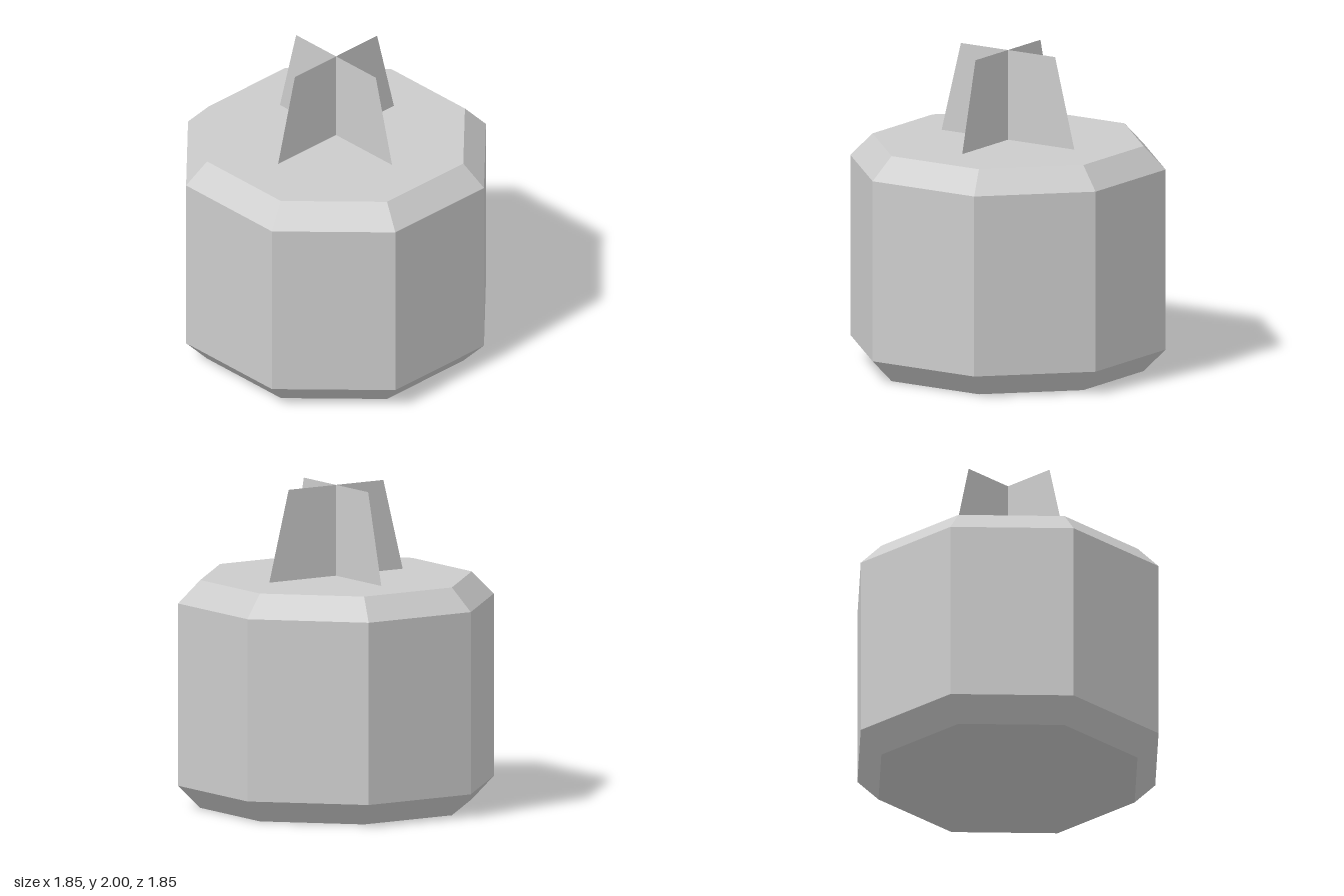
import * as THREE from 'three';

export function createModel() {
  const model = new THREE.Group();
  const grey = new THREE.MeshStandardMaterial({ color: 0xcccccc, flatShading: true, side: THREE.DoubleSide });
  grey.name = 'light grey';

  // Octagonal drum with bevelled rims, a flat side facing the front
  const profile = [[0, 0], [0.86, 0], [1, 0.143], [1, 1.287], [0.86, 1.43], [0, 1.43]]
    .map(([r, y]) => new THREE.Vector2(r, y));
  const body = new THREE.Mesh(new THREE.LatheGeometry(profile, 8, Math.PI / 8), grey);
  body.name = 'body';
  model.add(body);

  // Two crossed, tapered sheets standing on the lid
  const outline = [[-0.5, 1.43], [0.5, 1.43], [0.355, 2], [-0.355, 2]]
    .map(([x, y]) => new THREE.Vector2(x, y));
  const finGeometry = new THREE.ShapeGeometry(new THREE.Shape(outline));
  const sprout = new THREE.Group();
  sprout.name = 'crossedFins';
  ['finAcross', 'finAlong'].forEach((name, i) => {
    const fin = new THREE.Mesh(finGeometry, grey);
    fin.name = name;
    fin.rotation.y = i * Math.PI / 2;
    sprout.add(fin);
  });
  model.add(sprout);
  return model;
}
